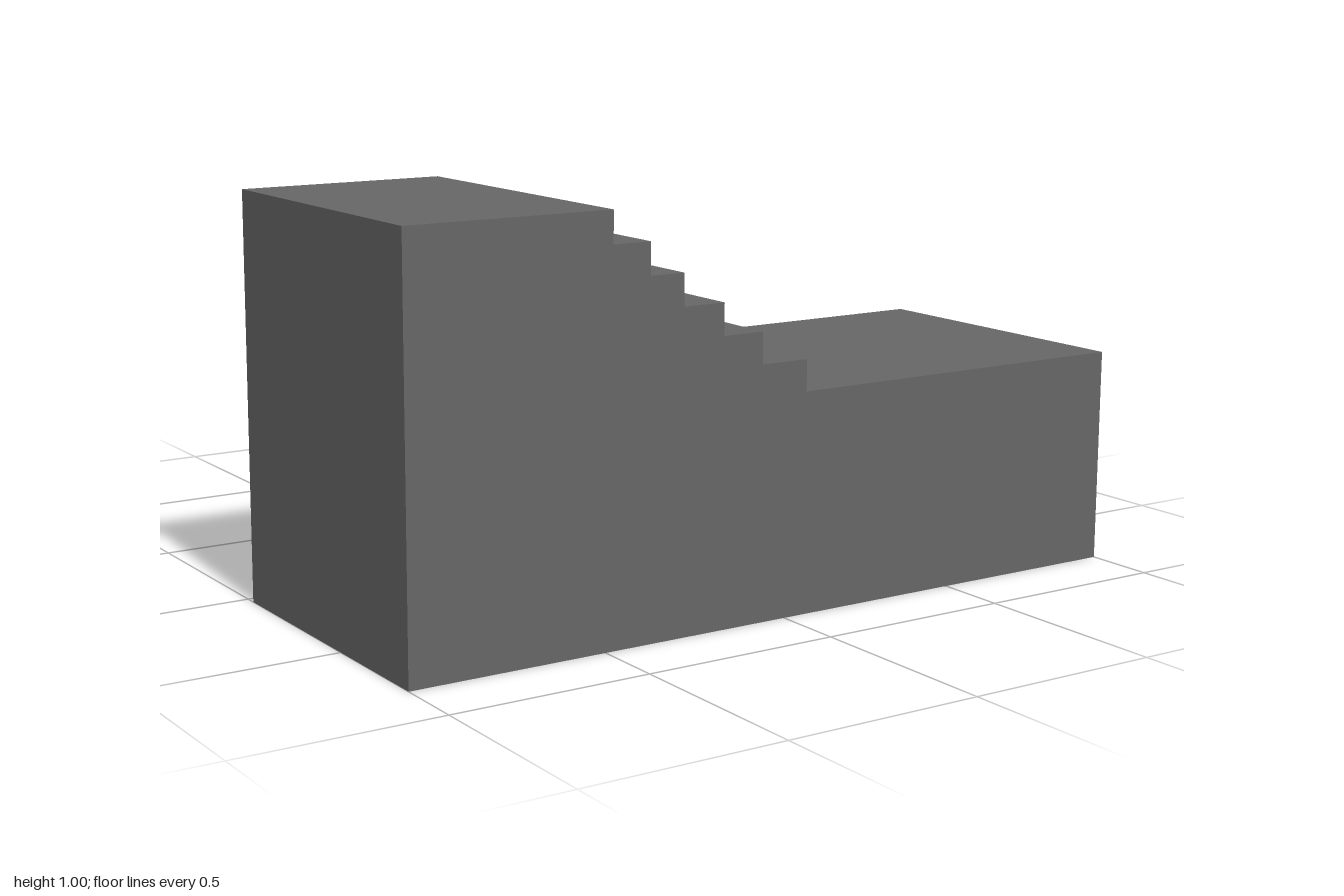
import * as THREE from 'three';

const RISER = 1 / 13;

// Solid with a stepped top: treads go from edges[0] downwards along +u.
function steppedSolid(edges, topStep, width) {
  const shape = new THREE.Shape();
  shape.moveTo(edges[0], 0);
  for (let i = 0; i < edges.length - 1; i++) {
    const y = (topStep - i) * RISER;
    shape.lineTo(edges[i], y);
    shape.lineTo(edges[i + 1], y);
  }
  shape.lineTo(edges[edges.length - 1], 0);
  shape.closePath();
  return new THREE.ExtrudeGeometry(shape, { depth: width, bevelEnabled: false });
}

export function createModel() {
  const group = new THREE.Group();
  const stone = new THREE.MeshStandardMaterial({ color: 0x666666 });
  stone.name = 'darkGreyStone';

  // Top platform, upper flight and corner landing, descending along +x
  const upper = new THREE.Mesh(
    steppedSolid([-1, -0.48, -0.382, -0.292, -0.181, -0.072, 0.056, 1], 13, 0.793), stone);
  upper.name = 'upperFlightAndLanding';
  upper.position.z = 0.03;

  // Lower flight, turned to descend towards the back
  const lowerGeometry = steppedSolid([-0.03, 0.116, 0.275, 0.412, 0.56, 0.693, 0.823], 6, 0.944);
  lowerGeometry.rotateY(Math.PI / 2);
  const lower = new THREE.Mesh(lowerGeometry, stone);
  lower.name = 'lowerFlight';
  lower.position.x = 0.056;

  group.add(upper, lower);
  return group;
}
